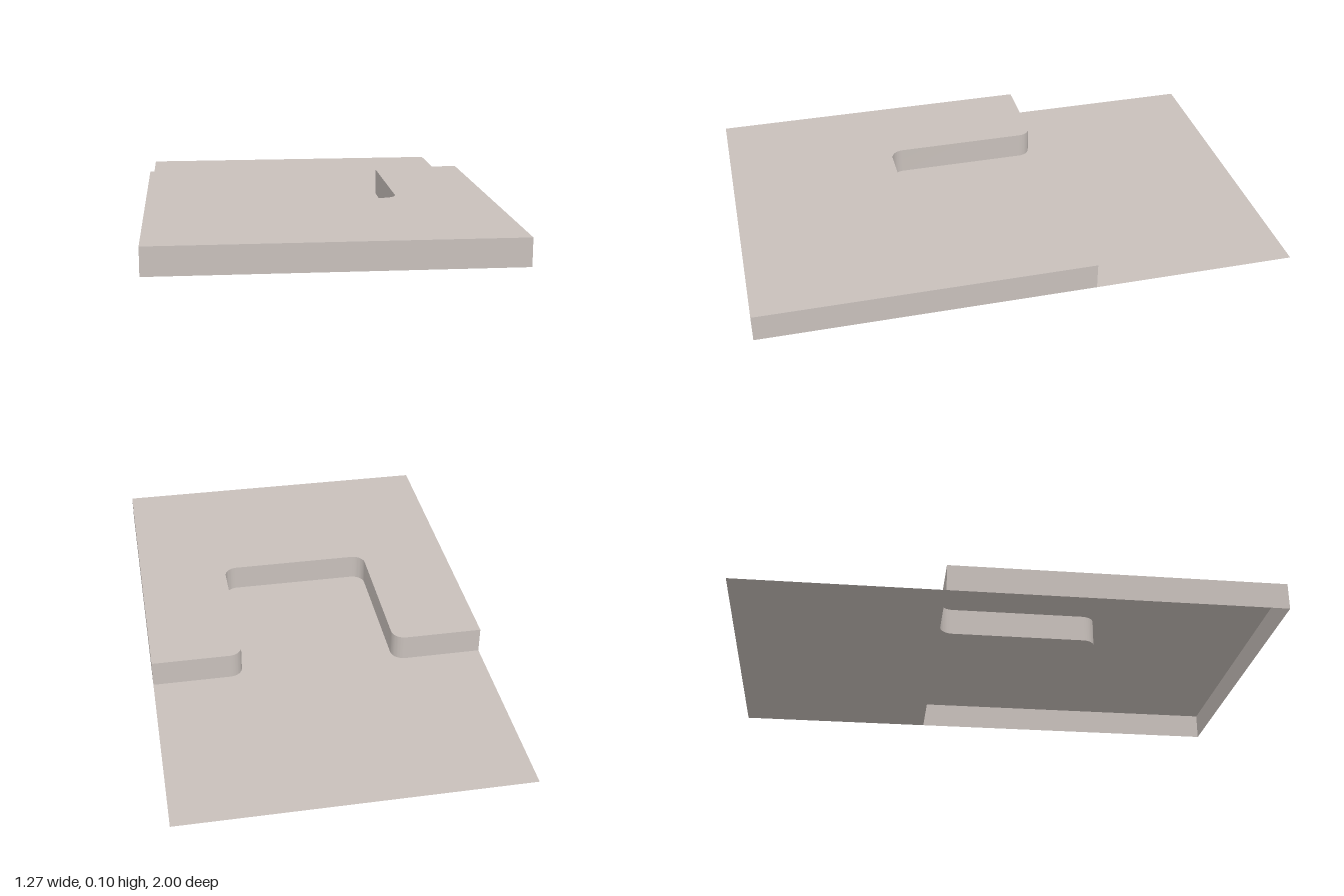
import * as THREE from 'three';
import { toCreasedNormals } from 'three/addons/utils/BufferGeometryUtils.js';

const W = 0.637;      // half width
const H = 0.1;        // height of the raised slab
const BACK = 0.24;    // rear edge of the slab (outline y is -z)
const DEEP = -0.355;  // bottom of the notch
const N = 0.293;      // half width of the notch
const R = 0.05;       // corner radius

// Rear edge with the rounded notch, traced from +x to -x
function traceNotch(shape) {
  const q = Math.PI / 2;
  shape.lineTo(W, BACK);
  shape.absarc(N + R, BACK - R, R, q, 2 * q, false);
  shape.absarc(N - R, DEEP + R, R, 0, -q, true);
  shape.absarc(-N + R, DEEP + R, R, -q, -2 * q, true);
  shape.absarc(-N - R, BACK - R, R, 0, q, false);
  shape.lineTo(-W, BACK);
}

// Upright band standing on a closed outline
function wallGeometry(points) {
  const v = [];
  points.forEach((p, i) => {
    const q = points[(i + 1) % points.length];
    v.push(p.x, 0, -p.y, q.x, 0, -q.y, q.x, H, -q.y);
    v.push(p.x, 0, -p.y, q.x, H, -q.y, p.x, H, -p.y);
  });
  const g = new THREE.BufferGeometry();
  g.setAttribute('position', new THREE.Float32BufferAttribute(v, 3));
  return toCreasedNormals(g, Math.PI / 5);
}

export function createModel() {
  const group = new THREE.Group();
  const stone = new THREE.MeshStandardMaterial({ color: 0xc8c0bb, side: THREE.DoubleSide });
  stone.name = 'warm grey';

  const add = (name, geometry) => {
    const mesh = new THREE.Mesh(geometry, stone);
    mesh.name = name;
    group.add(mesh);
    return mesh;
  };

  // Raised U-shaped slab: top and walls, open underneath
  const slab = new THREE.Shape();
  slab.moveTo(-W, -1);
  slab.lineTo(W, -1);
  traceNotch(slab);
  add('slabTop', new THREE.ShapeGeometry(slab, 8).rotateX(-Math.PI / 2)).position.y = H;
  add('slabWalls', wallGeometry(slab.getPoints(8)));

  // Flat ground sheet behind the slab, with a tongue filling the notch
  const sheet = new THREE.Shape();
  sheet.moveTo(-W, 1);
  sheet.lineTo(W, 1);
  traceNotch(sheet);
  add('groundSheet', new THREE.ShapeGeometry(sheet, 8).rotateX(-Math.PI / 2));

  return group;
}
